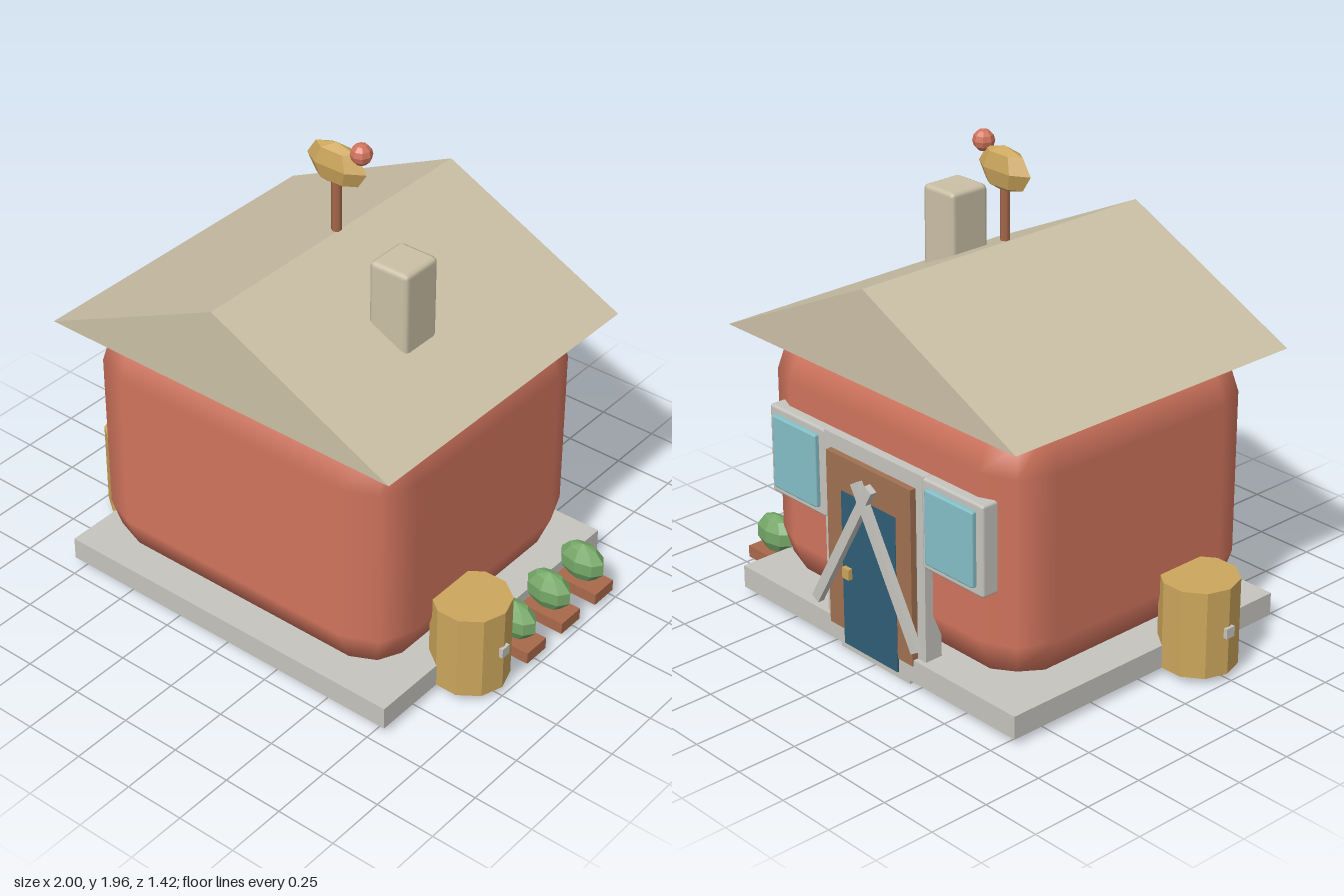
import * as THREE from 'three';
import { RoundedBoxGeometry } from 'three/addons/geometries/RoundedBoxGeometry.js';

const paint = (name, color) => {
  const m = new THREE.MeshStandardMaterial({ color });
  m.name = name;
  return m;
};

// Faceted normals for low-poly parts
const faceted = (geometry) => {
  const g = geometry.index ? geometry.toNonIndexed() : geometry;
  g.computeVertexNormals();
  return g;
};

export function createModel() {
  const red = paint('brickRed', 0xd0745d);
  const beige = paint('beige', 0xcbc0a6);
  const stone = paint('stoneGrey', 0xc6c4be);
  const ochre = paint('ochre', 0xcca65c);
  const wood = paint('doorWood', 0xa07050);
  const brown = paint('planterBrown', 0xa8694b);
  const green = paint('leafGreen', 0x76a868);
  const glass = paint('windowGlass', 0x86c0c8);
  const blue = paint('doorBlue', 0x2f5d76);

  const house = new THREE.Group();
  house.name = 'house';

  const add = (name, geometry, material, x = 0, y = 0, z = 0) => {
    const mesh = new THREE.Mesh(geometry, material);
    mesh.name = name;
    mesh.position.set(x, y, z);
    house.add(mesh);
    return mesh;
  };
  // Box given by its minimum and maximum corners; a radius rounds its edges
  const box = (name, material, [x0, y0, z0], [x1, y1, z1], radius = 0) => {
    const size = [x1 - x0, y1 - y0, z1 - z0];
    const g = radius ? new RoundedBoxGeometry(...size, 1, radius) : new THREE.BoxGeometry(...size);
    return add(name, g, material, (x0 + x1) / 2, (y0 + y1) / 2, (z0 + z1) / 2);
  };
  const blob = (name, material, radii, segments, position) => {
    const g = new THREE.SphereGeometry(1, ...segments).scale(...radii);
    return add(name, faceted(g), material, ...position);
  };

  // Foundation and walls
  box('foundation', stone, [-0.79, 0.03, -0.67], [0.79, 0.125, 0.7]);
  box('step', stone, [-0.2, 0, -0.655], [0.2, 0.03, -0.58]);
  box('walls', red, [-0.734, 0.11, -0.61], [0.734, 1.184, 0.65], 0.2);

  // Gabled roof, closed underneath
  const gable = new THREE.Shape([
    new THREE.Vector2(-0.805, 1.165),
    new THREE.Vector2(0.805, 1.165),
    new THREE.Vector2(0, 1.545),
  ]);
  add('roof', new THREE.ExtrudeGeometry(gable, { depth: 1.39, bevelEnabled: false }), beige, 0, 0, -0.68);
  box('chimney', beige, [0.315, 1.2, 0.035], [0.49, 1.645, 0.22], 0.02);

  // Roof ornament: pole, body and ball
  add('ornamentPole', new THREE.CylinderGeometry(0.02, 0.02, 0.22, 6), brown, 0, 1.665, 0.015);
  blob('ornamentBody', ochre, [0.14, 0.09, 0.05], [6, 4], [0, 1.835, 0.013]);
  blob('ornamentBall', red, [0.043, 0.043, 0.043], [8, 6], [0.116, 1.917, 0.015]);

  // Barrels with a small tap, one on each side
  for (const s of [1, -1]) {
    const name = s > 0 ? 'left' : 'right';
    const barrel = new THREE.CylinderGeometry(0.155, 0.155, 0.36, 10).rotateY(Math.PI / 10);
    add(name + 'Barrel', faceted(barrel), ochre, s * 0.835, 0.21, 0.238);
    add(name + 'BarrelTap', new THREE.BoxGeometry(0.05, 0.042, 0.042), stone, s * 0.975, 0.21, 0.238);
  }

  // Row of planters with bushes
  for (const z of [-0.437, -0.212, 0.013]) {
    box('planter', brown, [0.765, 0.03, z - 0.06], [0.985, 0.08, z + 0.06]);
    blob('bush', green, [0.105, 0.083, 0.06], [8, 5], [0.875, 0.16, z]);
  }

  // Door frame, door, inner panel and handle on the rear wall
  for (const s of [1, -1]) {
    box('doorPost', stone, [s * 0.26 - 0.025, 0.03, -0.648], [s * 0.26 + 0.025, 0.89, -0.57]);
  }
  box('doorLintel', stone, [-0.285, 0.8, -0.648], [0.285, 0.89, -0.57]);
  box('door', wood, [-0.24, 0.1, -0.675], [0.24, 0.83, -0.58]);
  box('doorPanel', blue, [-0.155, 0.04, -0.677], [0.155, 0.69, -0.668]);
  box('doorHandle', ochre, [0.1, 0.335, -0.695], [0.138, 0.38, -0.67]);

  // Windows either side of the door
  for (const s of [1, -1]) {
    const x = s * 0.44;
    box('windowFrame', stone, [x - 0.165, 0.52, -0.652], [x + 0.165, 0.89, -0.57], 0.012);
    box('windowPane', glass, [x - 0.13, 0.555, -0.672], [x + 0.13, 0.86, -0.64], 0.008);
  }

  // Crossed beams leaning over the door
  for (const s of [1, -1]) {
    const foot = new THREE.Vector2(s * 0.29, 0.19);
    const tip = new THREE.Vector2(-s * 0.04, 0.77);
    const span = tip.clone().sub(foot);
    const beam = new THREE.BoxGeometry(0.042, span.length(), 0.028);
    const mesh = add('crossedBeam', beam, stone, (foot.x + tip.x) / 2, 0.48, -0.696 + s * 0.001);
    mesh.rotation.z = Math.atan2(-span.x, span.y);
  }

  return house;
}
